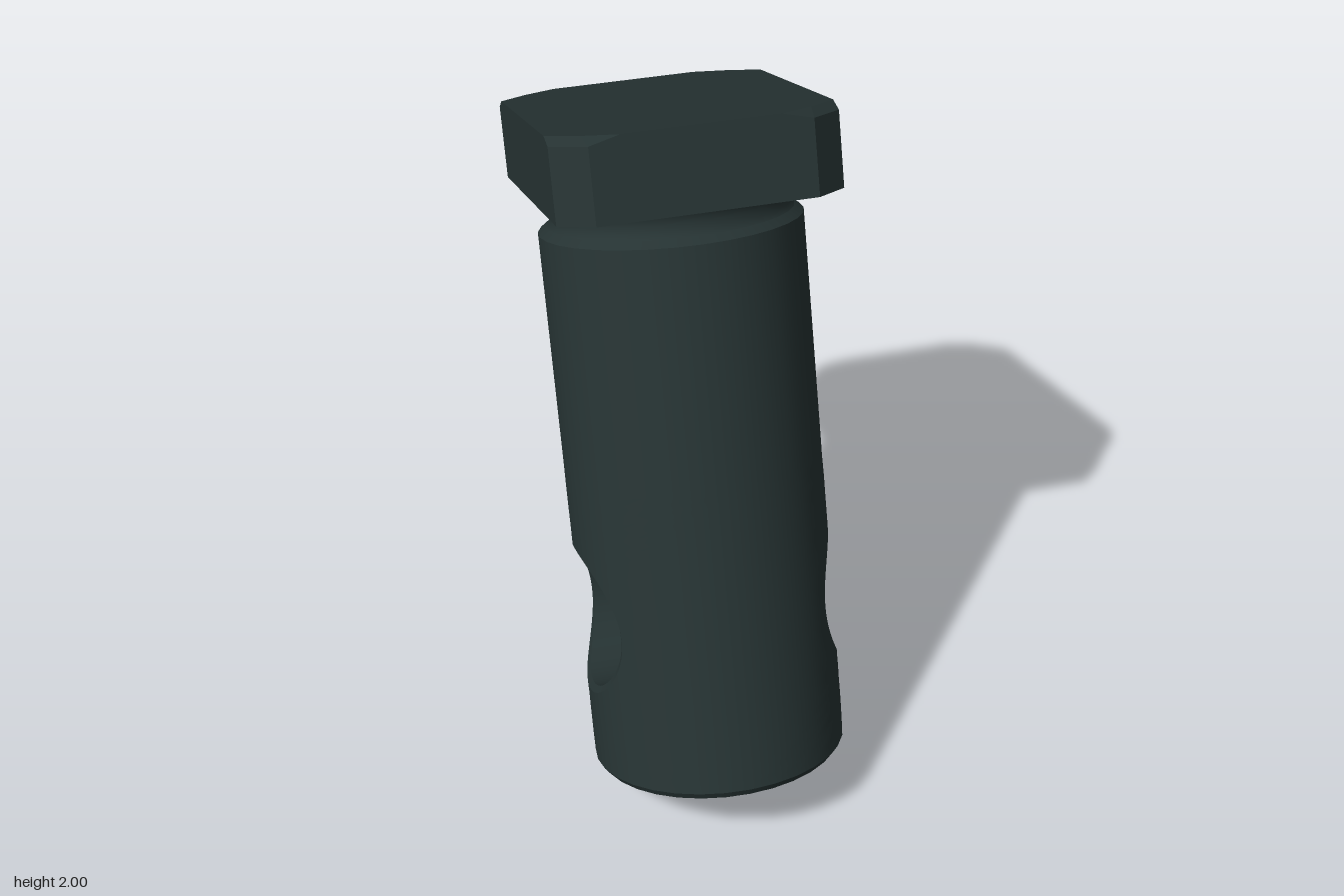
import * as THREE from 'three';

const R = 0.352;          // shaft radius
const HOLE_Y = 0.447;     // height of the cross hole along the shaft
const PATCH = 0.42;       // half height of the drilled part of the shaft
const SEG = 32;

// Skin between closed loops of points
function loft(rings) {
  const n = rings[0].length, index = [];
  for (let r = 0; r < rings.length - 1; r++) {
    for (let i = 0; i < n; i++) {
      const a = r * n + i, b = r * n + (i + 1) % n;
      index.push(a, b, b + n, a, b + n, a + n);
    }
  }
  const g = new THREE.BufferGeometry();
  g.setAttribute('position', new THREE.Float32BufferAttribute(rings.flat(2), 3));
  g.setIndex(index);
  g.computeVertexNormals();
  return g;
}

// Loop around a square of half side 1, evenly spaced, anticlockwise
function squareLoop(perSide) {
  const pts = [];
  for (let side = 0; side < 4; side++) {
    for (let i = 0; i < perSide; i++) {
      const k = -1 + 2 * i / perSide;
      pts.push([[1, k], [-k, 1], [-1, -k], [k, -1]][side]);
    }
  }
  return pts;
}

export function createModel() {
  const model = new THREE.Group();
  const bolt = new THREE.Group();
  bolt.name = 'tiltedBolt';
  bolt.position.set(0, 0.12, 0.38);
  bolt.rotation.x = -THREE.MathUtils.degToRad(21);
  model.add(bolt);

  const steel = new THREE.MeshStandardMaterial({ color: 0x263333 });
  steel.name = 'dark steel';
  const add = (parent, name, geometry) => {
    const mesh = new THREE.Mesh(geometry, steel);
    mesh.name = name;
    parent.add(mesh);
    return mesh;
  };
  const lathe = (name, pts) => add(bolt, name,
    new THREE.LatheGeometry(pts.map(p => new THREE.Vector2(...p)), SEG));

  // Turned parts, bottom to top; separate meshes keep the edges crisp
  lathe('shaftEnd', [[0, 0], [0.337, 0]]);
  lathe('shaftEndChamfer', [[0.337, 0], [R, 0.02]]);
  lathe('shaftFoot', [[R, 0.02], [R, HOLE_Y - PATCH]]);
  lathe('shaftUpper', [[R, HOLE_Y + PATCH], [R, 1.52]]);
  lathe('shaftShoulder', [[R, 1.52], [0.328, 1.538]]);
  lathe('neck', [[0.328, 1.538], [0.319, 1.55], [0.318, 1.572],
    [0.323, 1.592], [0.336, 1.608], [0.36, 1.62]]);

  // Drilled part of the shaft: two matching halves
  const square = squareLoop(SEG / 2);
  const outerHole = 0.208, innerHole = 0.19;
  const holeRing = (r, radius) => square.map(([s, y]) => {
    const t = Math.atan2(y, s), z = -r * Math.cos(t);
    return [radius ? Math.sqrt(radius * radius - z * z) : 0, HOLE_Y + r * Math.sin(t), z];
  });
  const wallRing = k => square.map(([s, y]) => {
    const t = Math.atan2(y, s);
    const angle = THREE.MathUtils.lerp(s * Math.PI / 2, Math.asin(outerHole * Math.cos(t) / R), k);
    const h = THREE.MathUtils.lerp(y * PATCH, outerHole * Math.sin(t), k);
    return [R * Math.cos(angle), HOLE_Y + h, -R * Math.sin(angle)];
  });
  const wall = loft([0, 1, 2, 3, 4, 5, 6, 7, 8].map(i => wallRing(i / 8)));
  const p = wall.attributes.position;
  for (let i = 0; i < p.count; i++) {
    wall.attributes.normal.setXYZ(i, p.getX(i) / R, 0, p.getZ(i) / R);
  }
  const rim = loft([holeRing(outerHole, R), holeRing(innerHole, R - 0.012)]);
  const bore = loft([holeRing(innerHole, R - 0.012), holeRing(innerHole, 0)]);
  for (const side of ['left', 'right']) {
    const half = new THREE.Group();
    half.name = side + 'DrilledHalf';
    half.rotation.y = side === 'left' ? 0 : Math.PI;
    add(half, side + 'ShaftWall', wall);
    add(half, side + 'HoleRim', rim);
    add(half, side + 'HoleBore', bore);
    bolt.add(half);
  }

  // Head: block with cut corners and a shallow bevel above each cut
  const low = 1.62, top = 1.835, cut = top - 0.02;
  const corner = [   // x, z of outline, height, x, z on the top face
    [0.2, 0.456, top, 0.2, 0.456],
    [0.28, 0.456, cut, 0.288, 0.406],
    [0.365, 0.383, cut, 0.288, 0.406],
    [0.365, 0.339, top, 0.365, 0.339],
  ];
  const outline = [];
  for (const [sx, sz] of [[1, 1], [1, -1], [-1, -1], [-1, 1]]) {
    const pts = sx * sz > 0 ? corner : [...corner].reverse();
    for (const [x, z, y, tx, tz] of pts) outline.push([x * sx, z * sz, y, tx * sx, tz * sz]);
  }
  const headRings = [
    outline.map(() => [0, low, 0]),
    outline.map(o => [o[0], low, o[1]]),
    outline.map(o => [o[0], o[2], o[1]]),
    outline.map(o => [o[3], top, o[4]]),
    outline.map(() => [0, top, 0]),
  ];
  const head = loft(headRings).toNonIndexed();
  head.computeVertexNormals();
  add(bolt, 'head', head);

  return model;
}
